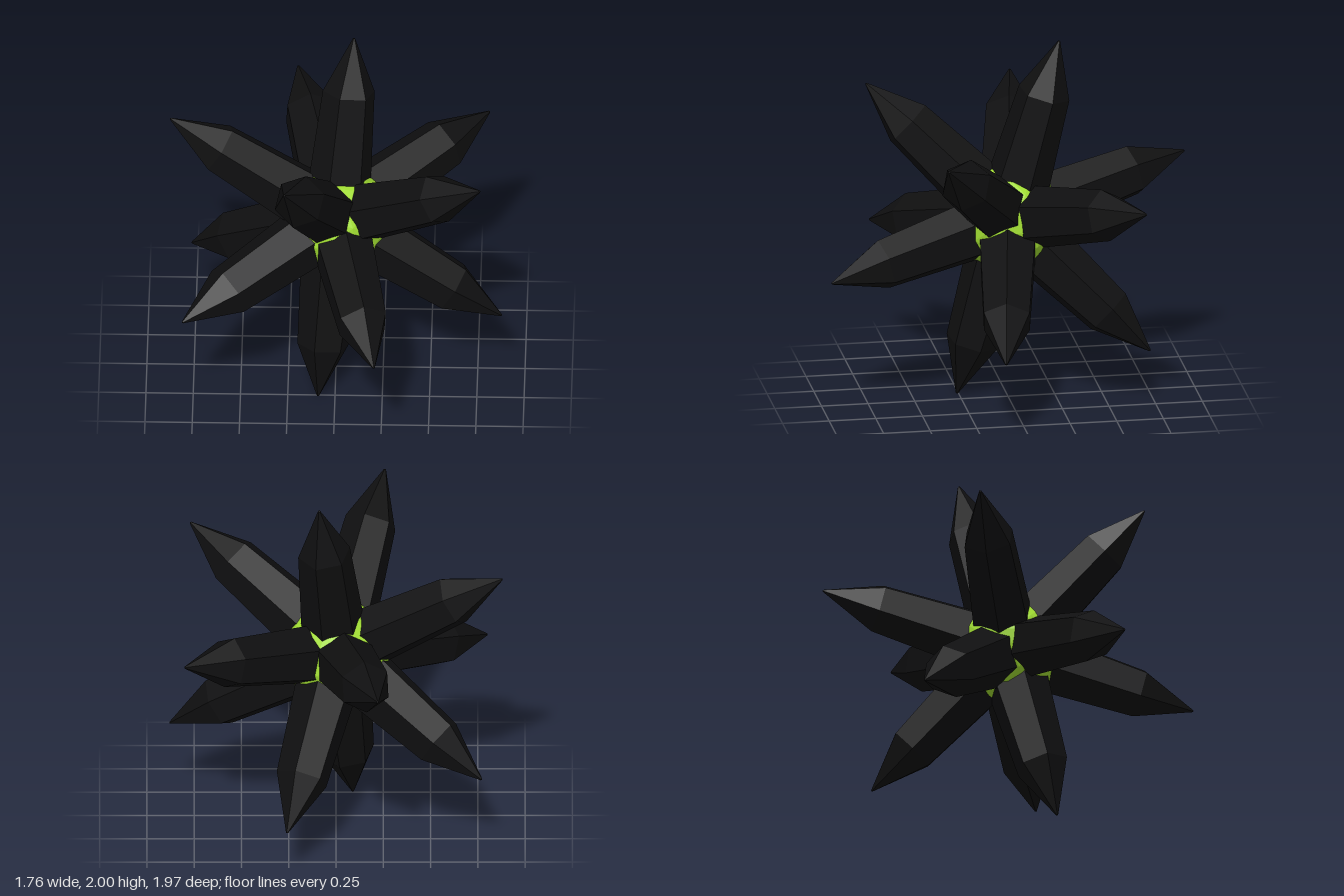
import * as THREE from 'three';

export function createModel() {
  const model = new THREE.Group();
  model.name = 'spikyCrystal';

  const black = new THREE.MeshStandardMaterial({ color: 0x0f0f10, flatShading: true });
  black.name = 'black crystal';
  const green = new THREE.MeshStandardMaterial({ color: 0xa0dc32, flatShading: true });
  green.name = 'lime core';

  // Core showing through the gaps between the spikes
  const core = new THREE.Mesh(new THREE.IcosahedronGeometry(0.29, 2), green);
  core.name = 'core';
  core.position.y = 1;
  model.add(core);

  // Six-sided spike: tapered shaft, shoulder, pointed end
  const profile = [[0, 0.15], [0.17, 0.18], [0.14, 0.73], [0.006, 1.034], [0, 1.037]]
    .map(([r, h]) => new THREE.Vector2(r, h));
  const spikeShape = new THREE.LatheGeometry(profile, 6);
  spikeShape.rotateX(Math.PI / 2);

  // Six axes of an icosahedron, each with a spike at both ends
  const axes = [
    [0.09, 1.0, -0.26],
    [-0.26, 0.70, 0.72],
    [-0.88, 0.525, -0.155],
    [0.77, 0.53, 0.445],
    [0.80, 0.245, -0.61],
    [-0.22, 0.245, -0.98],
  ];
  axes.forEach((axis, i) => {
    for (const end of [1, -1]) {
      const spike = new THREE.Mesh(spikeShape, black);
      spike.name = `spike${i + 1}${end > 0 ? 'A' : 'B'}`;
      spike.lookAt(new THREE.Vector3(...axis).multiplyScalar(end));
      spike.position.y = 1;
      model.add(spike);
    }
  });

  return model;
}
